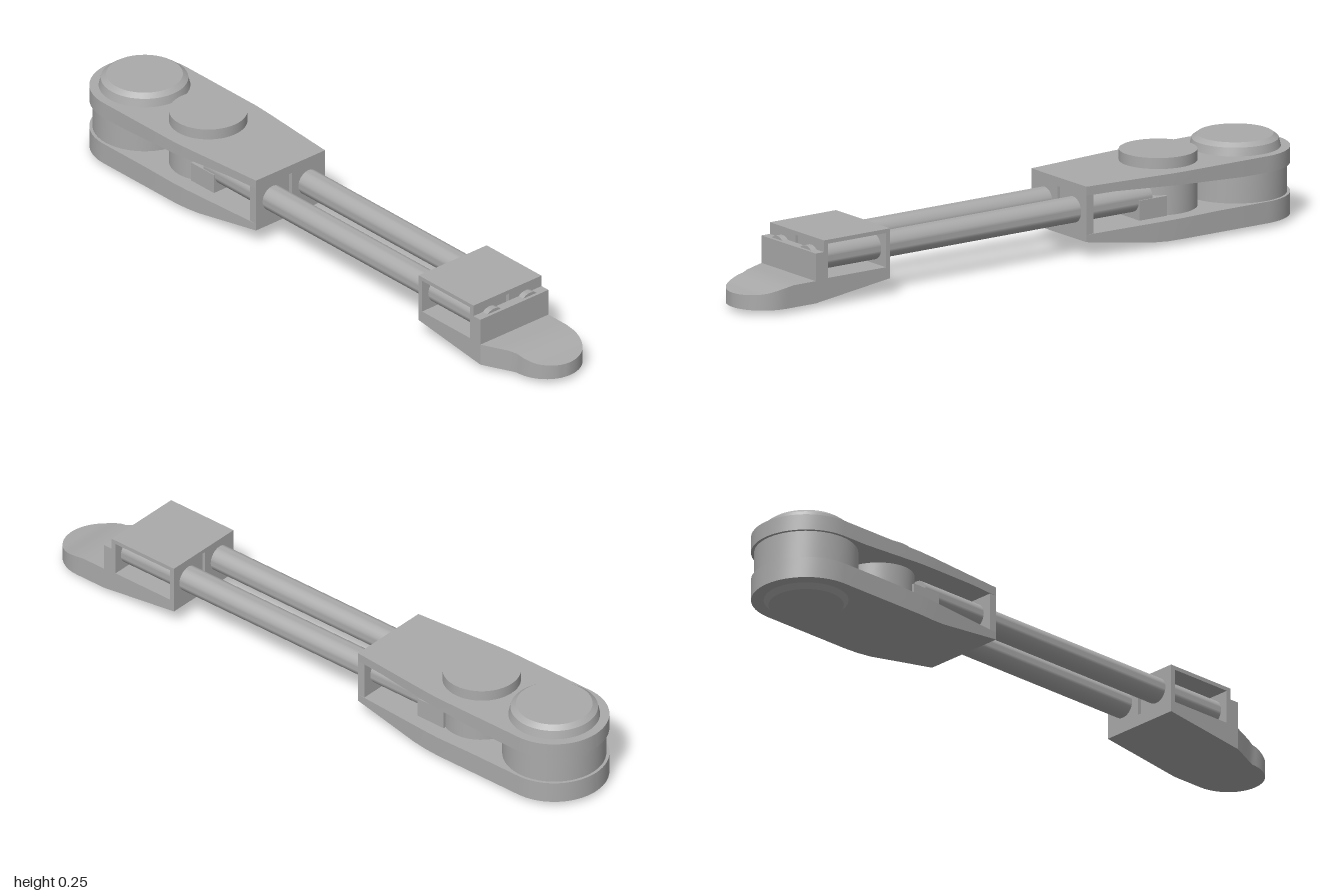
import * as THREE from 'three';
import { toCreasedNormals } from 'three/addons/utils/BufferGeometryUtils.js';

const metal = new THREE.MeshStandardMaterial({ color: 0xaaaaaa });
metal.name = 'grey metal';

// Solid lofted along x through sections [x, zMin, zMax, yBottom, yTop]
function loft(sections) {
  const rings = sections.map(([x, z0, z1, y0, y1]) => [[x, y0, z0], [x, y0, z1], [x, y1, z1], [x, y1, z0]]);
  const pos = [];
  const quad = (a, b, c, d) => pos.push(...a, ...b, ...c, ...a, ...c, ...d);
  quad(...rings[0]);
  for (let i = 0; i < rings.length - 1; i++) {
    const r = rings[i], s = rings[i + 1];
    for (let k = 0; k < 4; k++) {
      const n = (k + 1) % 4;
      quad(r[k], s[k], s[n], r[n]);
    }
  }
  quad(...rings[rings.length - 1].slice().reverse());
  const geo = new THREE.BufferGeometry();
  geo.setAttribute('position', new THREE.Float32BufferAttribute(pos, 3));
  geo.computeVertexNormals();
  return toCreasedNormals(geo, 0.45);
}

// Piecewise linear lookup in [[x, value], ...]
function lerpTable(table, x) {
  if (x <= table[0][0]) return table[0][1];
  for (let i = 1; i < table.length; i++) {
    const [xa, a] = table[i - 1], [xb, b] = table[i];
    if (x <= xb) return a + (b - a) * (x - xa) / (xb - xa);
  }
  return table[table.length - 1][1];
}

export function createModel() {
  const model = new THREE.Group();
  const add = (name, geo, x = 0, y = 0, z = 0) => {
    const mesh = new THREE.Mesh(geo, metal);
    mesh.name = name;
    mesh.position.set(x, y, z);
    model.add(mesh);
    return mesh;
  };
  const box = (name, x0, x1, y0, y1, z0, z1) =>
    add(name, new THREE.BoxGeometry(x1 - x0, y1 - y0, z1 - z0), (x0 + x1) / 2, (y0 + y1) / 2, (z0 + z1) / 2);
  const disc = (name, x, r, y0, y1, rTop = r) =>
    add(name, toCreasedNormals(new THREE.CylinderGeometry(rTop, r, y1 - y0, 48), 0.4), x, (y0 + y1) / 2, 0);
  // Wall across the arm with a narrow slot in the middle
  const slottedWall = (name, x0, x1, y0, y1, half) => {
    box(name, x0, x1, y0, y1, 0.006, half);
    box(name, x0, x1, y0, y1, -half, -0.006);
  };

  // Housing plates: rounded hinge end, narrowing towards the rods
  const R = 0.161, hingeX = -0.839;
  const outline = [];
  for (let i = 0; i <= 16; i++) {
    const a = 0.02 + (Math.PI / 2 - 0.02) * i / 16;
    outline.push([hingeX - R * Math.cos(a), R * Math.sin(a)]);
  }
  outline.push([-0.75, R], [-0.66, R], [-0.53, R], [-0.48, 0.158], [-0.43, 0.154], [-0.3, 0.143], [-0.2, 0.135]);
  const plate = (bottom, top) => loft(outline.map(([x, h]) => [x, -h, h, lerpTable(bottom, x), lerpTable(top, x)]));
  add('lowerHousingPlate', plate([[-0.48, 0.015], [-0.43, 0.018], [-0.2, 0.05]], [[-0.66, 0.08], [-0.2, 0.072]]));
  add('upperHousingPlate', plate([[-0.75, 0.168], [-0.3, 0.19]], [[-1, 0.217]]));
  slottedWall('housingEndWall', -0.225, -0.2, 0.06, 0.2, 0.135);

  // Hinge drum with bevelled caps
  disc('hingeDrum', hingeX, 0.152, 0.07, 0.18);
  disc('hingeTopCap', hingeX, 0.134, 0.217, 0.242, 0.128);
  disc('hingeTopBevel', hingeX, 0.128, 0.242, 0.254, 0.112);
  disc('hingeBottomCap', hingeX, 0.11, 0, 0.016, 0.125);

  // Second pivot and its button
  disc('pivotDrum', -0.56, 0.115, 0.07, 0.185);
  disc('pivotButton', -0.56, 0.115, 0.21, 0.25);
  box('rodAnchor', -0.51, -0.41, 0.078, 0.138, -0.112, 0.112);

  // Twin rods
  for (const z of [0.07, -0.07]) {
    const rod = new THREE.CylinderGeometry(0.039, 0.039, 1.23, 32);
    rod.rotateZ(Math.PI / 2);
    add('rod', toCreasedNormals(rod, 0.4), 0.155, 0.136, z);
  }

  // End bracket: open-sided box with a wedge floor and a step
  const W = 0.133;
  box('bracketTop', 0.51, 0.75, 0.188, 0.2, -W, W);
  slottedWall('bracketInnerWall', 0.51, 0.525, 0.08, 0.19, W);
  slottedWall('bracketOuterWall', 0.735, 0.75, 0.08, 0.19, W);
  box('bracketStep', 0.75, 0.78, 0.07, 0.165, -W, W);
  add('bracketFloor', loft([[0.51, -W, W, 0.05, 0.085], [0.78, -W, W, 0.015, 0.085]]));

  // Rounded toe, skewed to the right side and sloping down at the tip
  const toe = [[0.78, -W, W], [0.82, -W, 0.115], [0.86, -W, 0.096], [0.885, -W, 0.085]];
  for (let i = 1; i <= 12; i++) {
    const a = (Math.PI / 2 - 0.03) * i / 12, c = Math.cos(a);
    toe.push([0.885 + 0.115 * Math.sin(a), -0.022 - 0.111 * c, -0.022 + 0.107 * c]);
  }
  const toeTop = [[0.86, 0.082], [0.9, 0.076], [0.95, 0.064], [1, 0.058]];
  add('toe', loft(toe.map(([x, z0, z1]) => [x, z0, z1, 0.015, lerpTable(toeTop, x)])));

  return model;
}
